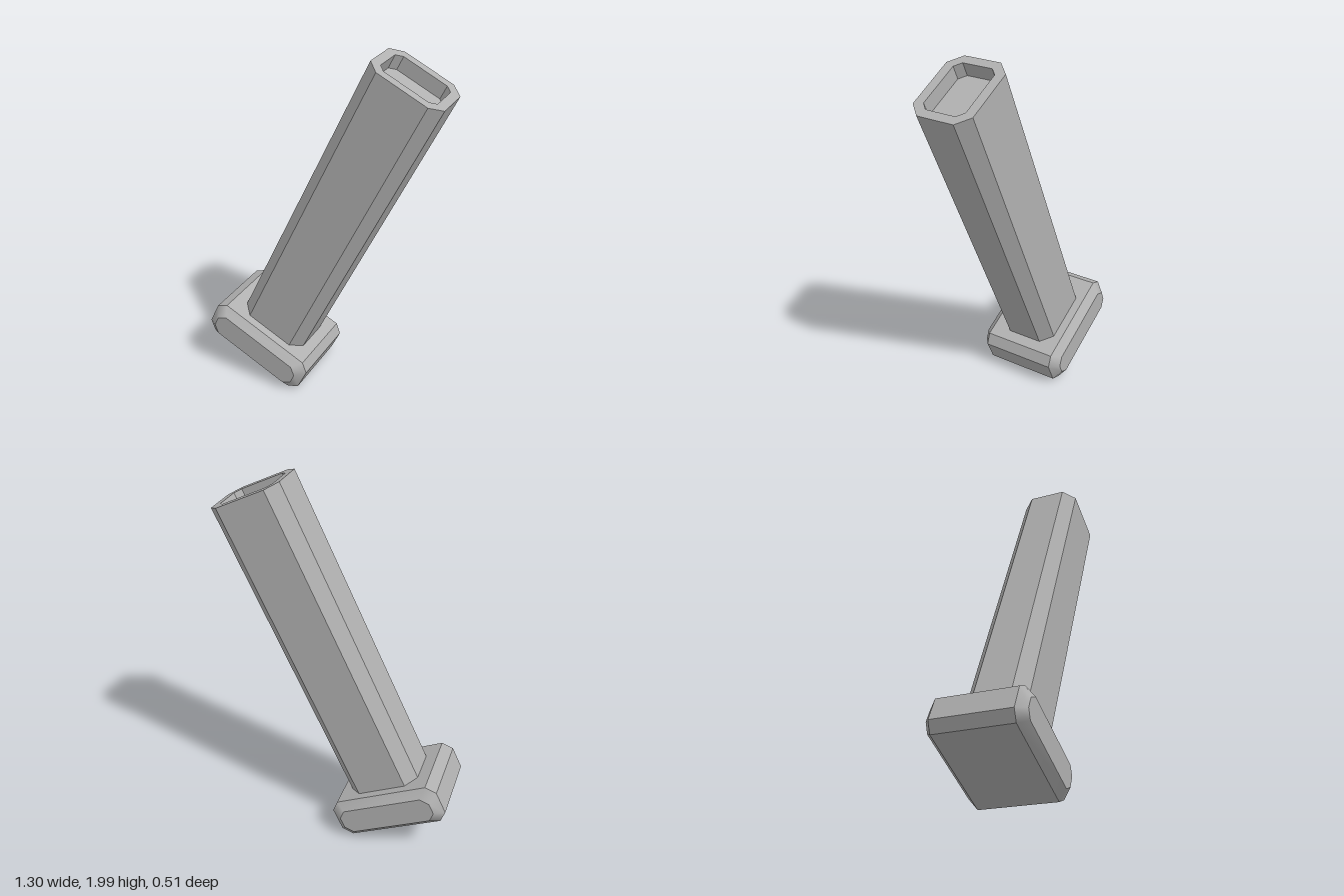
import * as THREE from 'three';

// Corner points of a rectangle with cut corners, counter-clockwise
function octagon(w, h, c) {
  return [
    [w, -h + c], [w, h - c], [w - c, h], [-w + c, h],
    [-w, h - c], [-w, -h + c], [-w + c, -h], [w - c, -h],
  ].map(([x, y]) => new THREE.Vector2(x, y));
}

// Band of quads between two outlines at different depths
function band(a, za, b, zb, smooth) {
  const n = a.length, index = [];
  const pos = [...a.flatMap(p => [p.x, p.y, za]), ...b.flatMap(p => [p.x, p.y, zb])];
  for (let i = 0; i < n; i++) {
    const j = (i + 1) % n;
    index.push(i, j, n + j, i, n + j, n + i);
  }
  let geo = new THREE.BufferGeometry();
  geo.setAttribute('position', new THREE.Float32BufferAttribute(pos, 3));
  geo.setIndex(index);
  if (!smooth) geo = geo.toNonIndexed();
  geo.computeVertexNormals();
  return geo;
}

// Upright prism from y0 to y1, with an optional hole
function prism(outline, y0, y1, hole) {
  const shape = new THREE.Shape(outline);
  if (hole) shape.holes.push(new THREE.Path(hole));
  const geo = new THREE.ExtrudeGeometry(shape, { depth: y1 - y0, bevelEnabled: false });
  return geo.rotateX(-Math.PI / 2).translate(0, y0, 0);
}

export function createModel() {
  const grey = new THREE.MeshStandardMaterial({ color: 0xb0b0b0 });
  grey.name = 'grey';

  const model = new THREE.Group();
  model.name = 'magazine';
  const add = (name, geo, parent) => {
    const mesh = new THREE.Mesh(geo, grey);
    mesh.name = name;
    parent.add(mesh);
    return mesh;
  };

  // Everything leans to one side around the middle of the base plate
  const tilted = new THREE.Group();
  tilted.name = 'tiltedBody';
  tilted.position.set(-0.338, 0.226, 0);
  tilted.rotation.z = THREE.MathUtils.degToRad(-25.2);
  model.add(tilted);

  // Base plate with bevelled front and back
  const plate = new THREE.Group();
  plate.name = 'basePlate';
  tilted.add(plate);
  const outer = octagon(0.32, 0.113, 0.048);
  const inner = octagon(0.274, 0.071, 0.04);
  add('plateSides', band(outer, -0.21, outer, 0.21, false), plate);
  add('frontBevel', band(outer, 0.21, inner, 0.253, true), plate);
  add('backBevel', band(inner, -0.253, outer, -0.21, true), plate);
  const face = new THREE.ShapeGeometry(new THREE.Shape(inner));
  add('frontFace', face.clone().translate(0, 0, 0.253), plate);
  add('backFace', face.clone().rotateY(Math.PI).translate(0, 0, -0.253), plate);

  // Long shaft, topped by a rim around a shallow pocket
  const shaft = new THREE.Group();
  shaft.name = 'shaft';
  shaft.position.x = 0.005;
  tilted.add(shaft);
  const section = octagon(0.205, 0.163, 0.063);
  const pocket = octagon(0.158, 0.114, 0.033);
  add('shaftBody', prism(section, 0.1, 1.791), shaft);
  add('pocketRim', prism(section, 1.791, 1.868, pocket), shaft);

  return model;
}
